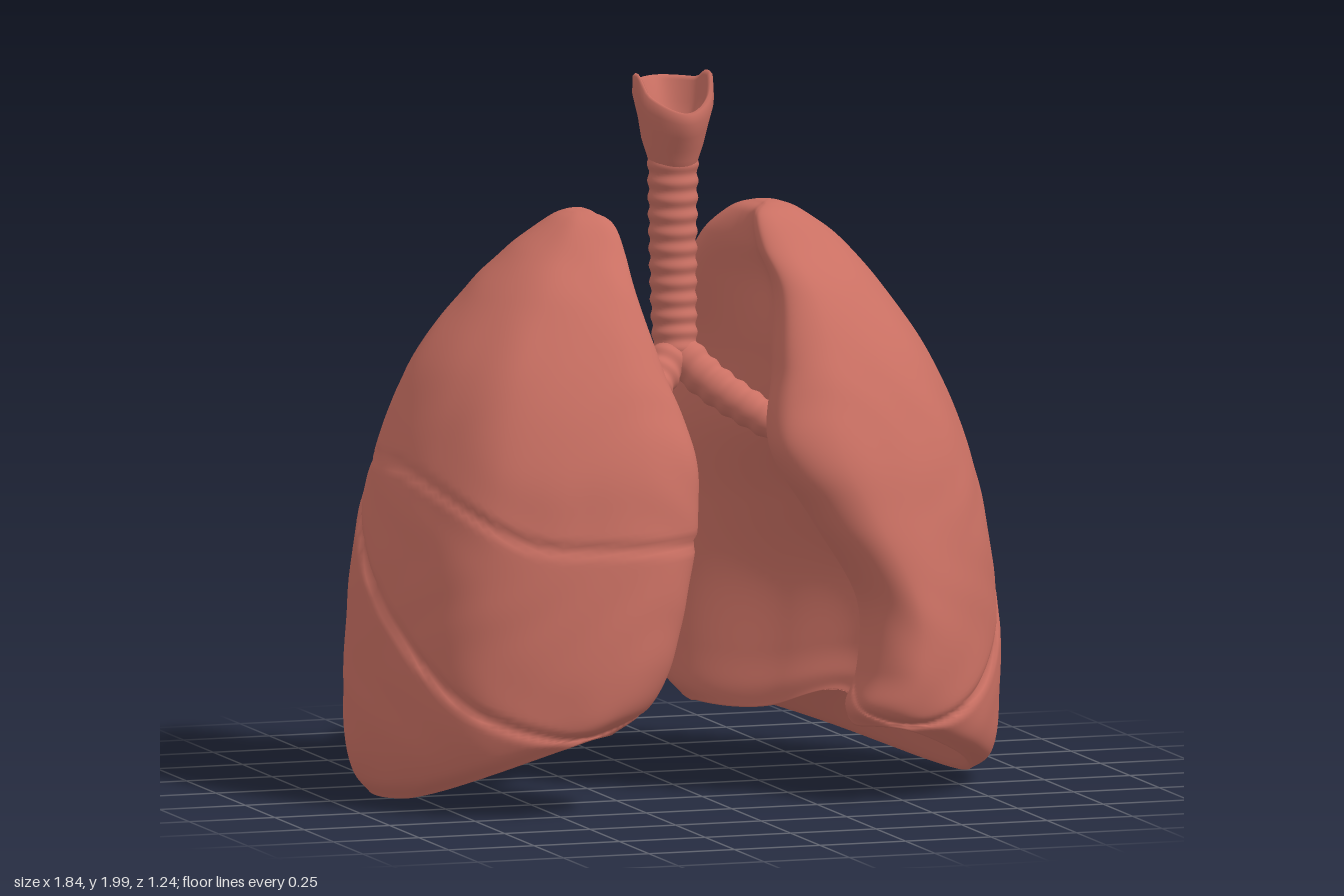
import * as THREE from 'three';

const V = (x, y, z) => new THREE.Vector3(x, y, z);
const { lerp: mix, smoothstep } = THREE.MathUtils;

// Skin closed loops of points into one smooth surface
function loft(rings, flip = false) {
  const n = rings[0].length, pos = [], idx = [];
  rings.forEach(r => r.forEach(p => pos.push(p.x, p.y, p.z)));
  for (let i = 0; i < rings.length - 1; i++) {
    for (let j = 0; j < n; j++) {
      const a = i * n + j, b = i * n + (j + 1) % n, c = a + n, d = b + n;
      if (flip) idx.push(a, c, b, b, c, d);
      else idx.push(a, b, c, b, d, c);
    }
  }
  const g = new THREE.BufferGeometry();
  g.setAttribute('position', new THREE.Float32BufferAttribute(pos, 3));
  g.setIndex(idx);
  g.computeVertexNormals();
  return g;
}

// Levels: height, inner x, outer x, back z, front z, x of the front edge
const LEFT = [
  [0, 0.16, 0.83, -0.55, 0.57, 0.38], [0.06, 0.12, 0.89, -0.605, 0.61, 0.36],
  [0.2, 0.11, 0.91, -0.62, 0.62, 0.39], [0.45, 0.11, 0.91, -0.61, 0.61, 0.39],
  [0.7, 0.11, 0.885, -0.585, 0.59, 0.27], [0.95, 0.1, 0.825, -0.53, 0.55, 0.15],
  [1.2, 0.13, 0.72, -0.45, 0.45, 0.19], [1.4, 0.12, 0.585, -0.345, 0.325, 0.22],
  [1.52, 0.14, 0.48, -0.24, 0.21, 0.2], [1.6, 0.195, 0.375, -0.13, 0.125, 0.21],
  [1.626, 0.245, 0.315, -0.06, 0.06, 0.25], [1.632, 0.2795, 0.2805, -0.0005, 0.0005, 0.2797],
];
const RIGHT = [
  [0, 0.17, 0.85, -0.55, 0.57, 0.34], [0.06, 0.12, 0.895, -0.605, 0.61, 0.24],
  [0.2, 0.11, 0.92, -0.62, 0.62, 0.18], [0.45, 0.11, 0.915, -0.61, 0.61, 0.13],
  [0.7, 0.11, 0.89, -0.585, 0.59, 0.095], [0.95, 0.1, 0.84, -0.53, 0.55, 0.09],
  [1.2, 0.12, 0.74, -0.45, 0.45, 0.15], [1.4, 0.13, 0.59, -0.345, 0.325, 0.19],
  [1.52, 0.15, 0.47, -0.24, 0.21, 0.195], [1.6, 0.2, 0.365, -0.13, 0.125, 0.21],
  [1.626, 0.245, 0.315, -0.06, 0.06, 0.25], [1.632, 0.2795, 0.2805, -0.0005, 0.0005, 0.2797],
];

// Horizontal outline of a lung, hollowed on the side facing the airway
const CORNERS = 13;
function section(xi, xo, zb, zf, xf) {
  const w = xo - xi, h = w * mix(0.05, 0.15, smoothstep(w, 0.5, 0.78));
  return new THREE.CatmullRomCurve3([
    V(xi, 0, 0.55 * zb), V(xi + 0.07 * w, 0, 0.91 * zb), V(xi + 0.31 * w, 0, zb),
    V(xi + 0.66 * w, 0, 0.86 * zb), V(xi + 0.91 * w, 0, 0.5 * zb), V(xo, 0, -0.08 * zf),
    V(xi + 0.93 * w, 0, 0.45 * zf), V(xi + 0.75 * w, 0, 0.81 * zf),
    V(mix(xf, xo, 0.23), 0, zf), V(xf + 0.03 * w, 0, 0.9 * zf), V(xf, 0, 0.7 * zf),
    V(xf + h, 0, 0.27 * zf), V(mix(xi, xf, 0.6) + 0.6 * h, 0, -0.1 * zf),
  ], true);
}

const groove = (d, width = 0.014) => Math.exp(-((d / width) ** 2));

// Small inward or outward shift: fissures between lobes and a soft surface relief
function relief(x, y, z, hasMiddleLobe) {
  const oblique = (y - 0.27 - (0.53 - z) * 0.74) / 1.24;
  let d = -0.014 * groove(oblique);
  if (oblique < 0) d += 0.008 * Math.exp(oblique / 0.15);
  if (hasMiddleLobe && oblique > 0) {
    const line = 0.76 + 0.19 * (Math.max(0, x - 0.5) / 0.33) ** 2;
    d -= 0.012 * groove(y - line);
  }
  // faint crease across the upper back
  d -= 0.005 * groove(y - 1.3 + 0.6 * (x - 0.25) ** 2) * smoothstep(-z, 0.1, 0.3);
  const cells = Math.sin(17 * y + 3 * Math.sin(9 * x + 4 * z)) * Math.sin(15 * (x - z) + 2 * Math.sin(11 * y));
  return d + 0.002 * cells;
}

function lungGeometry(levels, side) {
  const around = 176, perLevel = 12, count = (levels.length - 1) * perLevel;
  const spline = cols => new THREE.CatmullRomCurve3(
    levels.map(l => V(l[cols[0]], l[cols[1]], l[cols[2]])), false, 'catmullrom', 0.5);
  const widths = spline([1, 0, 2]), depths = spline([3, 5, 4]);
  const walls = [];
  for (let i = 0; i <= count; i++) {
    const a = widths.getPoint(i / count), b = depths.getPoint(i / count);
    const outline = section(a.x, a.z, b.x, b.z, b.y);
    const fade = Math.max(0, 1 - a.y / 1.63) ** 2, cx = (a.x + a.z) / 2;
    const room = Math.min(1, (a.z - a.x) / 0.3);
    const ring = [];
    for (let j = 0; j < around; j++) {
      const p = outline.getPoint(j / around), corner = j / around * CORNERS;
      // the lower rim hangs lowest at the outer side and arches up at the inner hollow
      const rim = 0.01 + 0.27 * Math.max(0, 0.83 - p.x) + 0.13 * ((p.z + 0.15) / 0.77) ** 2
        + 0.14 * groove(corner - 11.2, 0.95);
      p.y = a.y + rim * fade;
      const outerFace = smoothstep(corner, 0, 0.8) * (1 - smoothstep(corner, 9.8, 10.6));
      const out = V(p.x - cx, 0, p.z).normalize();
      p.addScaledVector(out, relief(p.x, p.y, p.z, side < 0) * room * outerFace);
      ring.push(p);
    }
    walls.push(ring);
  }
  // shallow domed underside with a rounded rim
  const base = [], steps = 20;
  for (let k = 0; k < steps; k++) {
    const r = Math.max(0.002, k / steps), rise = (1 - r ** 2.2) ** 1.3;
    base.push(walls[0].map(p => V(mix(0.57, p.x, r), mix(p.y, 0.33, rise), p.z * r)));
  }
  const rings = [...base, ...walls];
  rings.forEach(r => r.forEach(p => { p.x *= side; }));
  return loft(rings, side > 0);
}

// Tube with raised cartilage rings
function ringedTube(points, r0, r1, bands) {
  const curve = new THREE.CatmullRomCurve3(points), n = bands * 8, around = 32;
  const f = curve.computeFrenetFrames(n), rings = [];
  for (let i = 0; i <= n; i++) {
    const c = curve.getPointAt(i / n);
    const r = mix(r0, r1, i / n) + 0.003 * Math.cos(i / 8 * Math.PI * 2);
    rings.push(Array.from({ length: around }, (_, j) => {
      const a = j / around * Math.PI * 2;
      return c.clone().addScaledVector(f.normals[i], r * Math.cos(a)).addScaledVector(f.binormals[i], r * Math.sin(a));
    }));
  }
  return loft(rings);
}

// Open flared cup on top of the windpipe: rim low in front, raised at the sides
function larynxGeometry() {
  // share of height, half width, back z, front z
  const profile = [
    [0, 0.064, -0.068, 0.07], [0.12, 0.072, -0.085, 0.08], [0.3, 0.086, -0.105, 0.09],
    [0.55, 0.098, -0.108, 0.115], [0.8, 0.114, -0.122, 0.13], [0.97, 0.112, -0.138, 0.128],
    [1, 0.105, -0.132, 0.12], [0.95, 0.096, -0.12, 0.108], [0.7, 0.085, -0.09, 0.095],
    [0.4, 0.06, -0.06, 0.07], [0.3, 0.002, -0.002, 0.002],
  ];
  const around = 64;
  return loft(profile.map(([s, w, zb, zf]) => Array.from({ length: around }, (_, j) => {
    const a = j / around * Math.PI * 2, c = Math.cos(a);
    const horn = 0.025 * groove(Math.abs(Math.sin(a)) - 1, 0.06);
    const top = 1.9 + 0.075 * Math.min(1, 1.1 * (1 - c)) + horn;
    const taper = 1 - 0.3 * s * c * c;
    return V(w * Math.sin(a) * taper, mix(1.74, top, s), c > 0 ? zf * c : -zb * c);
  })));
}

export function createModel() {
  const model = new THREE.Group();
  model.name = 'lungs';
  const tissue = new THREE.MeshStandardMaterial({ color: 0xca7063 });
  tissue.name = 'tissue pink';
  const add = (name, geometry) => {
    const mesh = new THREE.Mesh(geometry, tissue);
    mesh.name = name;
    model.add(mesh);
  };

  add('leftLung', lungGeometry(LEFT, 1));
  add('rightLung', lungGeometry(RIGHT, -1));
  add('larynx', larynxGeometry());
  add('windpipe', ringedTube([V(0, 1.18, 0.03), V(0, 1.3, 0.01), V(0, 1.5, 0), V(0, 1.79, 0)], 0.06, 0.07, 13));
  add('leftBronchus', ringedTube([V(0, 1.23, 0.02), V(0.07, 1.15, 0.09), V(0.17, 1.07, 0.19), V(0.32, 0.98, 0.3)], 0.058, 0.046, 9));
  add('rightBronchus', ringedTube([V(0, 1.23, 0.02), V(-0.07, 1.16, 0.08), V(-0.16, 1.08, 0.18), V(-0.3, 0.98, 0.28)], 0.056, 0.046, 9));
  return model;
}
